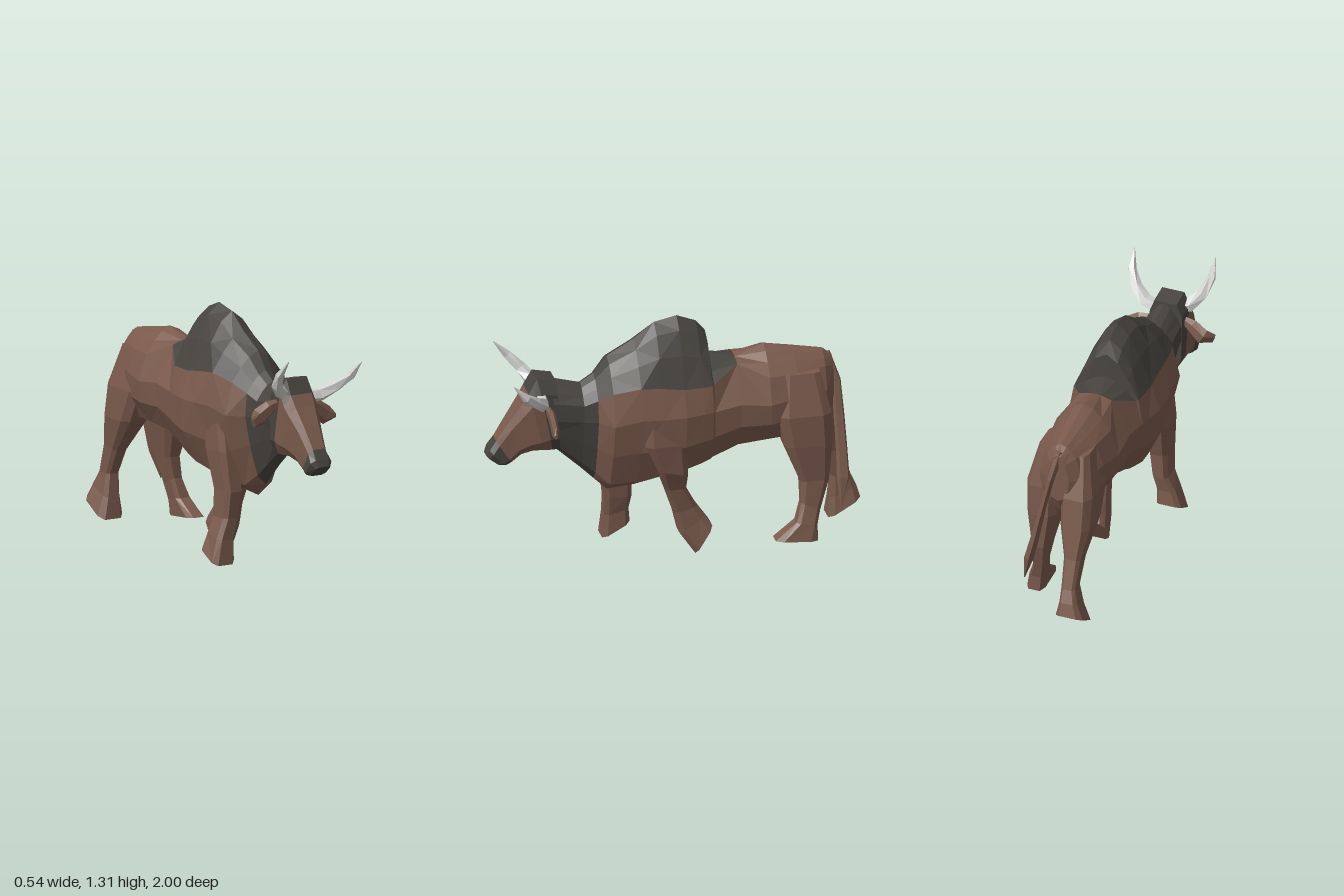
import * as THREE from 'three';

const mat = (name, color) => {
  const m = new THREE.MeshStandardMaterial({ color, flatShading: true });
  m.name = name;
  return m;
};
const BROWN = 0, GREY = 1;

// Skins a list of closed rings with flat facets; paint(section, side) picks the material index.
function loft(rings, paint = () => BROWN) {
  const n = rings[0].length, buckets = [[], []];
  const centre = r => r.reduce((s, p) => s.add(p), new THREE.Vector3()).divideScalar(n);
  const add = (k, a, b, c) => buckets[k].push([a, b, c]);
  for (let i = 0; i < rings.length - 1; i++)
    for (let j = 0; j < n; j++) {
      const k = paint(i, j), j2 = (j + 1) % n;
      const a = rings[i][j], b = rings[i][j2], c = rings[i + 1][j2], d = rings[i + 1][j];
      if ((i + j) % 2) { add(k, a, b, c); add(k, a, c, d); }
      else { add(k, a, b, d); add(k, b, c, d); }
    }
  const first = rings[0], last = rings[rings.length - 1], c0 = centre(first), c1 = centre(last);
  for (let j = 0; j < n; j++) {
    const j2 = (j + 1) % n;
    add(paint(0, j), c0, first[j2], first[j]);
    add(paint(rings.length - 2, j), c1, last[j], last[j2]);
  }
  // Turn every face outward if the enclosed volume is negative
  let volume = 0;
  for (const [a, b, c] of buckets.flat()) volume += a.dot(b.clone().cross(c));
  const geo = new THREE.BufferGeometry(), pos = [];
  buckets.forEach((tris, k) => {
    geo.addGroup(pos.length / 3, tris.length * 3, k);
    for (const [a, b, c] of tris)
      for (const p of volume < 0 ? [a, c, b] : [a, b, c]) pos.push(p.x, p.y, p.z);
  });
  geo.setAttribute('position', new THREE.Float32BufferAttribute(pos, 3));
  geo.computeVertexNormals();
  return geo;
}

// Boxy eight-sided ring spanning two [z, y] points, with centre x and half width w
function ring([z1, y1], [z2, y2], x, w) {
  const boxy = v => Math.sign(v) * Math.sqrt(Math.abs(v) / Math.cos(Math.PI / 8));
  return Array.from({ length: 8 }, (_, i) => {
    const t = (i + 0.5) * Math.PI / 4, c = boxy(Math.cos(t)) / 2, s = boxy(Math.sin(t));
    return new THREE.Vector3(x + s * w, (y1 + y2) / 2 + c * (y1 - y2), (z1 + z2) / 2 + c * (z1 - z2));
  });
}

// Leg from joints of [x, y, z, half width, half depth, rise of the back edge]
const leg = joints => loft(joints.map(([x, y, z, w, d, rise = 0]) =>
  ring([z + d, y - rise], [z - d, y + rise], x, w)));

// Body ring: back ridge, rounded to the upper flank, out to the widest point, in to the belly or brisket keel
function bodyRing([z, top, flankX, flankY, wideX, wideY, belly]) {
  const drop = top - flankY, hang = wideY - belly, lean = -0.01;
  const keel = 0.2 * THREE.MathUtils.clamp(z / 0.4, 0, 1);
  const half = [
    [0.35 * flankX, top - 0.17 * drop], [0.67 * flankX, top - 0.52 * drop], [flankX, flankY],
    [wideX, wideY], [(0.96 - keel) * wideX, wideY - 0.43 * hang], [(0.6 - keel) * wideX, wideY - 0.86 * hang],
  ];
  const side = s => half.map(([x, y]) => new THREE.Vector3(lean + s * x, y, z));
  return [new THREE.Vector3(lean, top, z), ...side(1), new THREE.Vector3(lean, belly, z), ...side(-1).reverse()];
}

// Tapered form along a path of [x, y, z, radius, second radius]
function limb(path, sides) {
  const pts = path.map(p => new THREE.Vector3(p[0], p[1], p[2]));
  return loft(pts.map((p, i) => {
    const t = pts[Math.min(i + 1, pts.length - 1)].clone().sub(pts[Math.max(i - 1, 0)]).normalize();
    const u = t.clone().cross(new THREE.Vector3(0, 0, 1)).normalize(), v = u.clone().cross(t);
    const [, , , r1, r2 = r1] = path[i];
    return Array.from({ length: sides }, (_, j) => {
      const a = j / sides * Math.PI * 2;
      return p.clone().addScaledVector(u, Math.cos(a) * r1).addScaledVector(v, Math.sin(a) * r2);
    });
  }));
}

export function createModel() {
  const model = new THREE.Group();
  const brown = mat('brown hide', 0x7a5a4c), grey = mat('dark grey hide', 0x47443f);
  const horn = mat('pale horn', 0xd2d2d0);
  const hide = [brown, grey];
  const part = (name, geo, material = hide) => {
    const m = new THREE.Mesh(geo, material);
    m.name = name;
    model.add(m);
  };

  // Body, hump and neck, from rump to throat
  const body = [
    [-0.83, 1.0, .04, .95, .06, .85, .72],
    [-0.78, 1.04, .08, .97, .12, .85, .63],
    [-0.62, 1.07, .13, .97, .17, .85, .57],
    [-0.47, 1.10, .15, .97, .195, .83, .57],
    [-0.31, 1.06, .09, 1.04, .19, .85, .55],
    [-0.17, 1.08, .17, .97, .2, .83, .49],
    [-0.16, 1.21, .18, .97, .205, .83, .48],
    [-0.11, 1.27, .185, .97, .215, .83, .46],
    [-0.01, 1.31, .19, .97, .235, .83, .43],
    [0.11, 1.285, .19, .99, .235, .83, .4],
    [0.22, 1.2, .19, 1, .22, .83, .37],
    [0.36, 1.12, .16, .97, .2, .8, .36],
    [0.43, 1.03, .115, .92, .125, .8, .43],
    [0.5, 0.985, .1, .89, .105, .8, .5],
    [0.66, 1.03, .095, .92, .095, .82, .65],
  ].map(bodyRing);
  part('body', loft(body, (i, j) => (i >= 12 || (i >= 4 && (j < 3 || j > 10)) ? GREY : BROWN)));

  // Head, from the poll down to the muzzle: upper and lower [z, y], half width
  const headX = -0.02;
  const head = [
    [[.64, 1.03], [.62, .64], .09], [[.74, 1.05], [.66, .64], .095], [[.785, .97], [.71, .645], .1],
    [[.82, .91], [.76, .645], .09], [[.88, .82], [.82, .625], .07], [[.95, .71], [.87, .58], .055],
    [[.985, .66], [.9, .57], .064], [[1, .625], [.93, .568], .045],
  ].map(([a, b, w]) => ring(a, b, headX, w));
  part('head', loft(head, (i, j) => {
    const top = j === 7 || j === 0 || j === 6;
    return i >= 5 || i === 0 || (i === 1 && top) || (i === 4 && j === 3) ? GREY : BROWN;
  }));

  // Horns
  part('leftHorn', limb([
    [.06, .94, .72, .036], [.13, .945, .735, .038], [.2, .99, .78, .031], [.25, 1.05, .845, .023], [.265, 1.13, .915, .002],
  ], 5), [horn, horn]);
  part('rightHorn', limb([
    [-.05, .98, .72, .036], [-.11, .98, .735, .038], [-.165, 1.03, .78, .031], [-.19, 1.1, .845, .023], [-.183, 1.185, .92, .002],
  ], 5), [horn, horn]);

  // Ears
  part('leftEar', limb([
    [.06, .89, .69, .02, .015], [.13, .865, .68, .045, .02], [.2, .815, .68, .05, .018], [.25, .81, .69, .012, .01],
  ], 6));
  part('rightEar', limb([
    [-.09, .92, .69, .02, .015], [-.15, .895, .68, .04, .03], [-.21, .85, .67, .05, .035], [-.26, .83, .7, .03, .012],
  ], 6));

  // Legs in mid stride, from hip to hoof
  part('frontLeftLeg', leg([
    [.155, .86, .11, .05, .09], [.15, .67, .09, .065, .11], [.125, .5, .05, .065, .08, -.02],
    [.09, .385, .025, .05, .055], [.075, .255, -.03, .047, .06, .015],
    [.07, .165, -.065, .055, .065, .045], [.07, .076, -.125, .07, .045, .074],
  ]));
  part('frontRightLeg', leg([
    [-.16, .82, .21, .05, .09], [-.155, .6, .24, .058, .1], [-.145, .39, .28, .05, .08],
    [-.155, .25, .272, .043, .072], [-.185, .155, .275, .052, .065, .015], [-.203, .05, .275, .068, .073, .04],
  ]));
  part('hindLeftLeg', leg([
    [.09, .97, -.64, .05, .1], [.11, .75, -.65, .085, .14], [.11, .575, -.67, .08, .125],
    [.12, .365, -.705, .045, .075], [.14, .225, -.68, .035, .05, -.025],
    [.16, .14, -.655, .043, .055, -.01], [.172, .055, -.597, .05, .112, -.01],
  ]));
  part('hindRightLeg', leg([
    [-.09, .97, -.65, .05, .1], [-.1, .75, -.69, .085, .15], [-.105, .58, -.75, .08, .12],
    [-.11, .41, -.84, .045, .06, .01], [-.11, .265, -.9, .038, .05],
    [-.12, .17, -.91, .05, .07, .03], [-.13, .08, -.915, .075, .085, .05],
  ]));

  // Tail with a tuft, swinging to the left
  part('tail', limb([
    [-.01, 1.01, -.8, .025], [.02, .86, -.85, .018, .025], [.06, .68, -.855, .016, .03], [.1, .5, -.86, .022, .032],
    [.135, .36, -.86, .026, .035], [.17, .21, -.84, .003],
  ], 5));

  return model;
}
